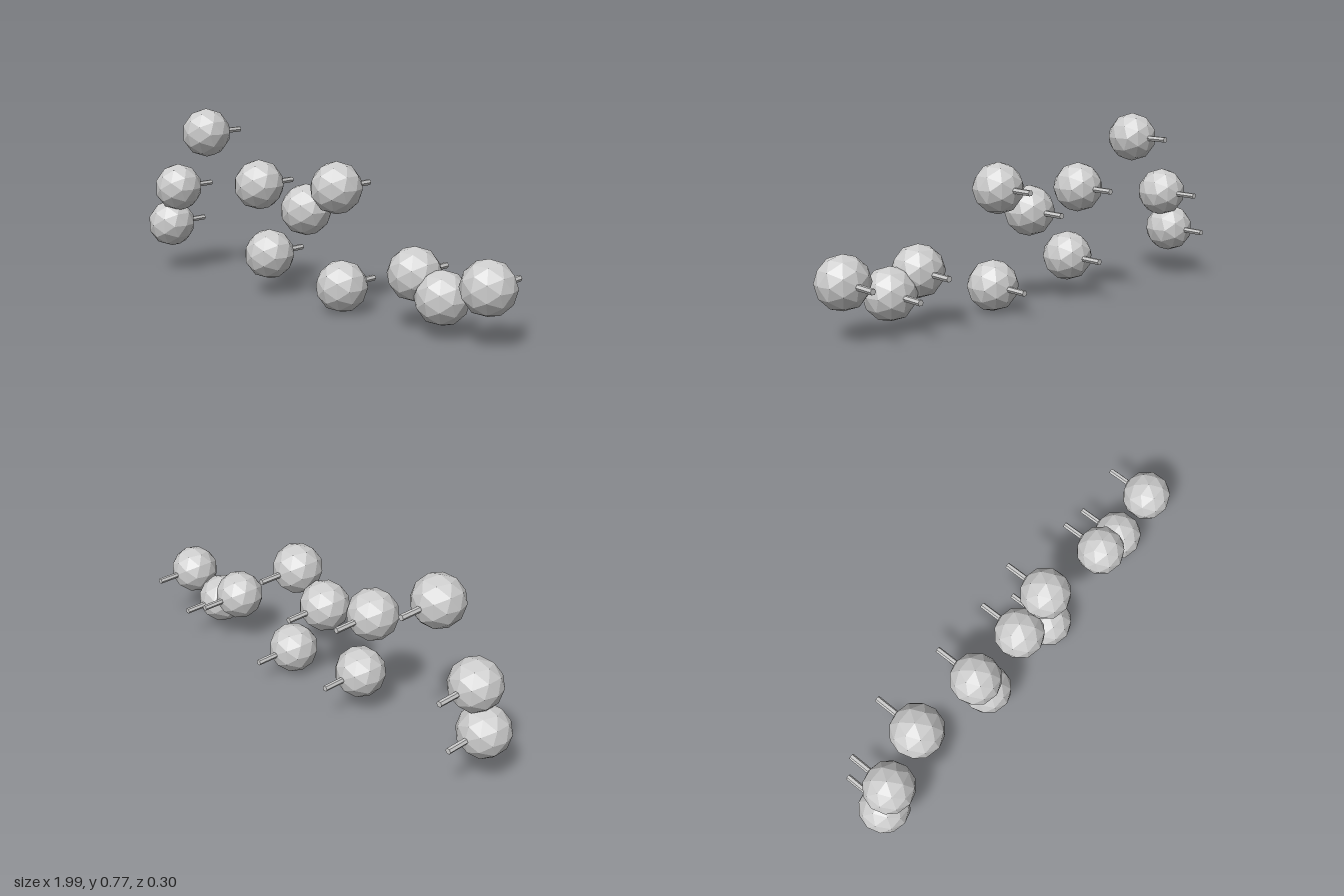
import * as THREE from 'three';

export function createModel() {
  const model = new THREE.Group();
  const paleGrey = new THREE.MeshStandardMaterial({ color: 0xcccccc, flatShading: true });
  paleGrey.name = 'pale grey';

  // Faceted ball and six-sided pin, shared by every pushpin
  const radius = 0.107;
  const ballGeometry = new THREE.IcosahedronGeometry(radius, 1);
  const pinLength = 0.117;
  const pinGeometry = new THREE.CylinderGeometry(0.0125, 0.0125, pinLength, 6);
  pinGeometry.rotateY(Math.PI / 6).rotateX(-Math.PI / 2);

  // Ball centres (x, y), all in one upright plane
  const centreZ = 0.045;
  const backZ = -0.152;
  const centres = [
    [-0.634, 0.665], [-0.836, 0.398], [-0.892, 0.224], [-0.299, 0.47],
    [-0.238, 0.178], [-0.02, 0.398], [0.148, 0.507], [0.179, 0.11],
    [0.551, 0.224], [0.683, 0.155], [0.888, 0.229],
  ];

  for (const [x, y] of centres) {
    const pushpin = new THREE.Group();
    pushpin.name = 'pushpin';
    pushpin.position.set(x, y, centreZ);

    const ball = new THREE.Mesh(ballGeometry, paleGrey);
    ball.name = 'ball';

    // Pin sticks out of the back of the ball
    const pin = new THREE.Mesh(pinGeometry, paleGrey);
    pin.name = 'pin';
    pin.position.z = backZ + pinLength / 2 - centreZ;

    pushpin.add(ball, pin);
    model.add(pushpin);
  }
  return model;
}
